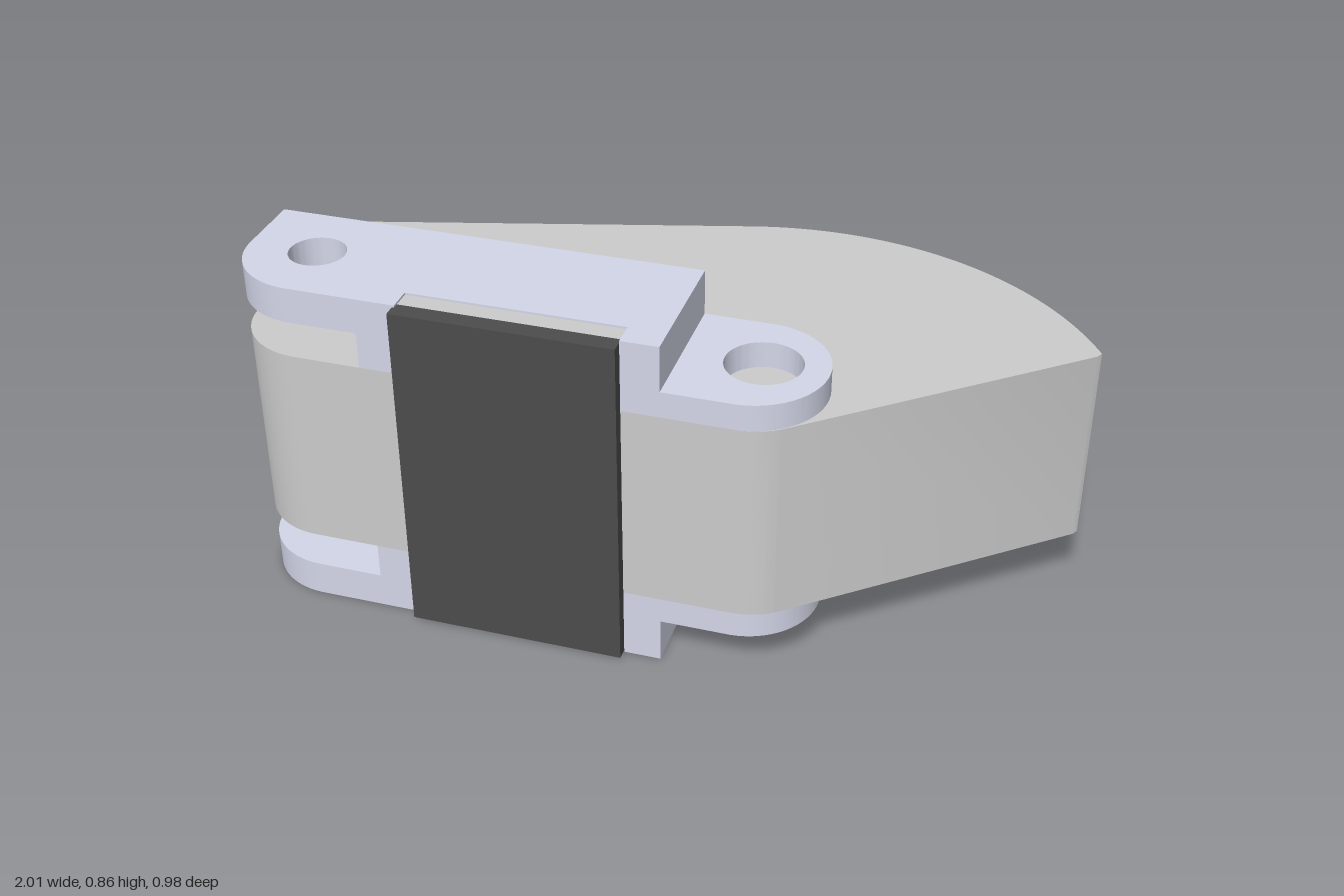
import * as THREE from 'three';
import { toCreasedNormals } from 'three/addons/utils/BufferGeometryUtils.js';

const HEIGHT = 0.858;

// Extrude a plan outline drawn in (x, z) between heights y0 and y1
function slab(name, shape, y0, y1, material) {
  const geo = new THREE.ExtrudeGeometry(shape, { depth: y1 - y0, bevelEnabled: false, curveSegments: 32 });
  geo.rotateX(Math.PI / 2).translate(0, y1, 0);
  const mesh = new THREE.Mesh(toCreasedNormals(geo, 0.5), material);
  mesh.name = name;
  return mesh;
}

function rect(x0, x1, z0, z1) {
  return new THREE.Shape([[x0, z0], [x1, z0], [x1, z1], [x0, z1]].map(p => new THREE.Vector2(...p)));
}

function addHole(shape, x, z, r) {
  shape.holes.push(new THREE.Path().absarc(x, z, r, 0, Math.PI * 2, true));
}

// Curved body: rounded blunt end, swept back, pointed tip
function bodyShape() {
  const s = new THREE.Shape();
  s.moveTo(-0.75, 0.46);
  s.absarc(-0.75, 0.28, 0.18, Math.PI / 2, Math.PI, false);
  s.lineTo(-0.995, -0.04);
  s.bezierCurveTo(-1.01, -0.11, -0.96, -0.18, -0.88, -0.2);
  s.absarc(0.3, 0.33, 0.822, -1.83, -0.53, false);
  s.lineTo(1, -0.07);
  s.lineTo(0.39, 0.425);
  s.quadraticCurveTo(0.345, 0.46, 0.28, 0.46);
  s.closePath();
  return s;
}

// Free arm with one rounded corner and a small hole
function armShape() {
  const s = new THREE.Shape();
  s.moveTo(-0.59, 0.108);
  s.lineTo(-0.59, 0.46);
  s.lineTo(-0.75, 0.46);
  s.absarc(-0.75, 0.28, 0.18, Math.PI / 2, Math.PI, false);
  s.lineTo(-0.93, 0.108);
  s.closePath();
  addHole(s, -0.76, 0.28, 0.068);
  return s;
}

// Mounting block with a front notch for the face plate
function blockShape() {
  return new THREE.Shape([
    [-0.59, 0.108], [0.12, 0.108], [0.12, 0.46], [0.03, 0.46],
    [0.03, 0.4], [-0.49, 0.4], [-0.49, 0.46], [-0.59, 0.46],
  ].map(p => new THREE.Vector2(...p)));
}

// Round-ended pivot tab with a larger hole
function tabShape() {
  const s = new THREE.Shape();
  s.moveTo(0.12, 0.108);
  s.lineTo(0.28, 0.108);
  s.absarc(0.28, 0.284, 0.176, -Math.PI / 2, Math.PI / 2, false);
  s.lineTo(0.12, 0.46);
  s.closePath();
  addHole(s, 0.305, 0.28, 0.09);
  return s;
}

export function createModel() {
  const group = new THREE.Group();
  group.name = 'hingedLatch';
  const grey = new THREE.MeshStandardMaterial({ color: 0xcccccc });
  const metal = new THREE.MeshStandardMaterial({ color: 0xd3d6e8 });
  const dark = new THREE.MeshStandardMaterial({ color: 0x4c4c4c });

  group.add(slab('body', bodyShape(), 0.178, 0.68, grey));

  // Matching brackets above and below the body
  const parts = [
    ['Arm', armShape(), 0.77, HEIGHT],
    ['Block', blockShape(), 0.68, HEIGHT],
    ['Tab', tabShape(), 0.68, 0.745],
  ];
  for (const upper of [true, false]) {
    const bracket = new THREE.Group();
    bracket.name = upper ? 'upperBracket' : 'lowerBracket';
    for (const [part, shape, y0, y1] of parts) {
      const [a, b] = upper ? [y0, y1] : [HEIGHT - y1, HEIGHT - y0];
      bracket.add(slab(bracket.name + part, shape, a, b, metal));
    }
    group.add(bracket);
  }

  // Face plate with its backing strip
  group.add(slab('plateBacking', rect(-0.49, 0.03, 0.4, 0.445), 0.005, 0.853, grey));
  group.add(slab('facePlate', rect(-0.495, 0.03, 0.445, 0.49), 0.005, 0.853, dark));
  return group;
}
